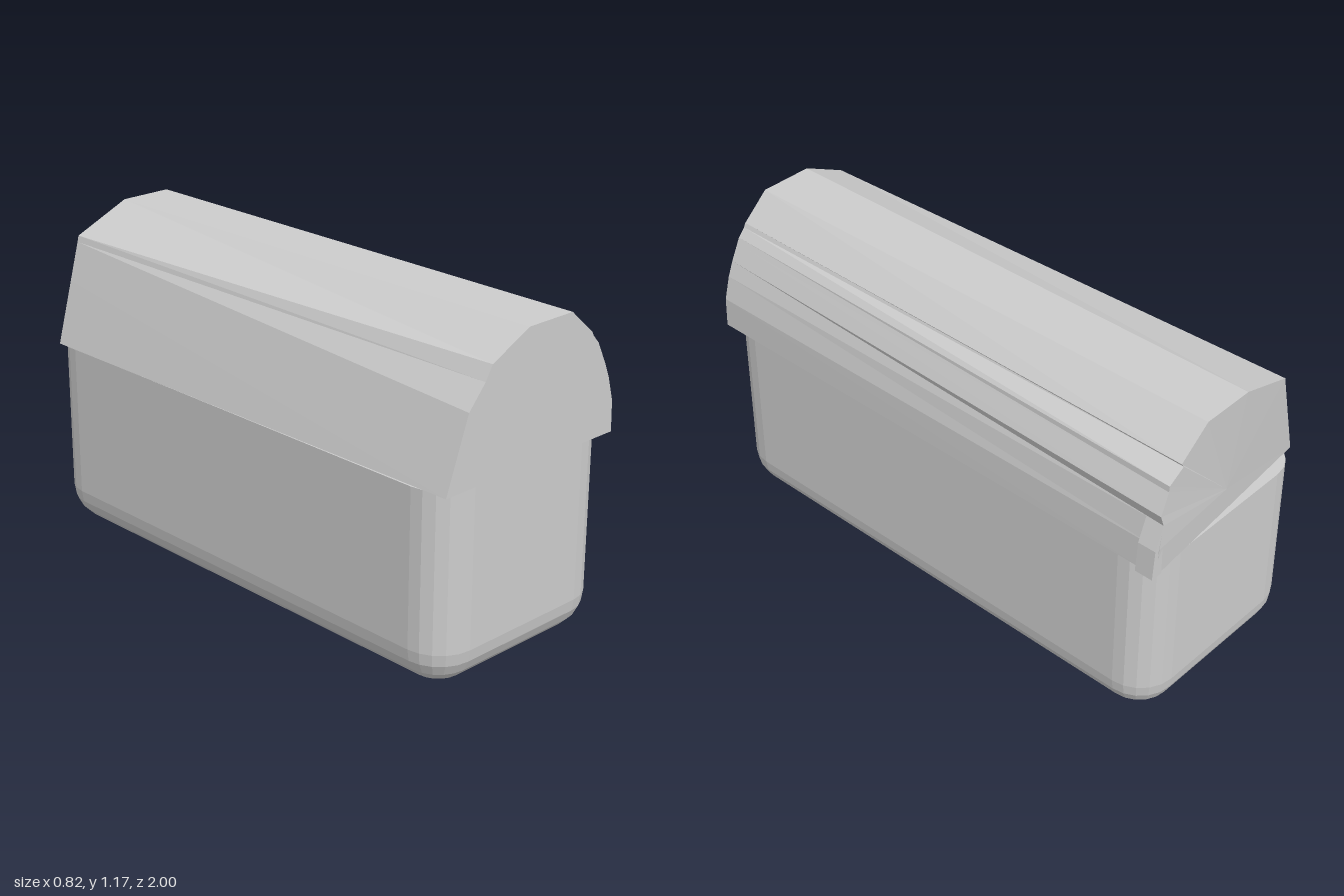
import * as THREE from 'three';

const grey = new THREE.MeshStandardMaterial({ color: 0xcccccc, flatShading: true });
grey.name = 'plain grey';

// Joins closed rings of points; each end is closed by a fan around a centre point
function loft(rings, startCentre, endCentre) {
  const pos = [];
  const tri = (...pts) => pts.forEach((p) => pos.push(...p));
  const n = rings[0].length;
  const last = rings[rings.length - 1];
  for (let i = 0; i < n; i++) {
    const j = (i + 1) % n;
    for (let k = 0; k < rings.length - 1; k++) {
      const a = rings[k], b = rings[k + 1];
      tri(a[i], a[j], b[j]);
      tri(a[i], b[j], b[i]);
    }
    tri(startCentre, rings[0][j], rings[0][i]);
    tri(endCentre, last[i], last[j]);
  }
  const geo = new THREE.BufferGeometry();
  geo.setAttribute('position', new THREE.Float32BufferAttribute(pos, 3));
  geo.computeVertexNormals();
  return geo;
}

function part(name, geo) {
  const mesh = new THREE.Mesh(geo, grey);
  mesh.name = name;
  return mesh;
}

// Rounded tub: rounded rectangles that shrink towards the floor
function tubGeometry() {
  const r = 0.14, seg = 5, hx = 0.395, hz = 0.988, cx = -0.013, cz = 0.01, top = 0.704;
  const ring = (y, radius) => {
    const pts = [];
    for (let q = 0; q < 4; q++) {
      const sx = q === 0 || q === 3 ? 1 : -1;
      const sz = q < 2 ? 1 : -1;
      for (let s = 0; s <= seg; s++) {
        const a = (q + s / seg) * Math.PI / 2;
        pts.push([
          cx + sx * (hx - r) + radius * Math.cos(a),
          y,
          cz + sz * (hz - r) + radius * Math.sin(a),
        ]);
      }
    }
    return pts.reverse();
  };
  const rings = [];
  for (let s = 0; s <= seg; s++) {
    const a = (s / seg) * Math.PI / 2;
    rings.push(ring(r * (1 - Math.cos(a)), r * Math.sin(a)));
  }
  rings.push(ring(top, r));
  return loft(rings, [cx, 0, cz], [cx, top, cz]);
}

// Lid: front outline joined to a slightly wider, stepped and slanted back outline
function lidGeometry() {
  // front x, front y, back x, back y, back z
  const outline = [
    [-0.402, 0.705, -0.412, 0.705, -0.925],
    [-0.31, 0.96, -0.335, 0.925, -0.945],
    [-0.24, 1.04, -0.287, 1.06, -0.958],
    [-0.21, 1.09, -0.28, 1.082, -0.96],
    [-0.045, 1.17, -0.045, 1.17, -0.982],
    [0.157, 1.17, 0.157, 1.17, -0.983],
    [0.26, 1.08, 0.28, 1.08, -0.985],
    [0.268, 1.065, 0.27, 1.066, -0.986],
    [0.295, 1.035, 0.34, 1.033, -0.99],
    [0.305, 1.015, 0.342, 1.012, -0.99],
    [0.335, 0.955, 0.38, 0.94, -0.995],
    [0.358, 0.9, 0.368, 0.9, -0.997],
    [0.382, 0.815, 0.385, 0.815, -1],
    [0.386, 0.705, 0.39, 0.705, -0.995],
  ];
  const front = outline.map(([x, y]) => [x, y, 1]);
  const back = outline.map(([, , x, y, z]) => [x, y, z]);
  return loft([front, back], [0, 0.8, 1], [0, 0.8, -0.965]);
}

// Small flange standing out at the rear corner of the lid
function flangeGeometry() {
  const outline = [[0.365, 0.705], [0.368, 0.9], [0.402, 0.815], [0.411, 0.705]];
  const at = (z) => outline.map(([x, y]) => [x, y, z]);
  return loft([at(-0.93), at(-0.998)], [0.385, 0.76, -0.93], [0.385, 0.76, -0.998]);
}

export function createModel() {
  const group = new THREE.Group();
  group.name = 'lidded box';
  group.add(part('tub', tubGeometry()));
  group.add(part('lid', lidGeometry()));
  group.add(part('lidFlange', flangeGeometry()));
  return group;
}
